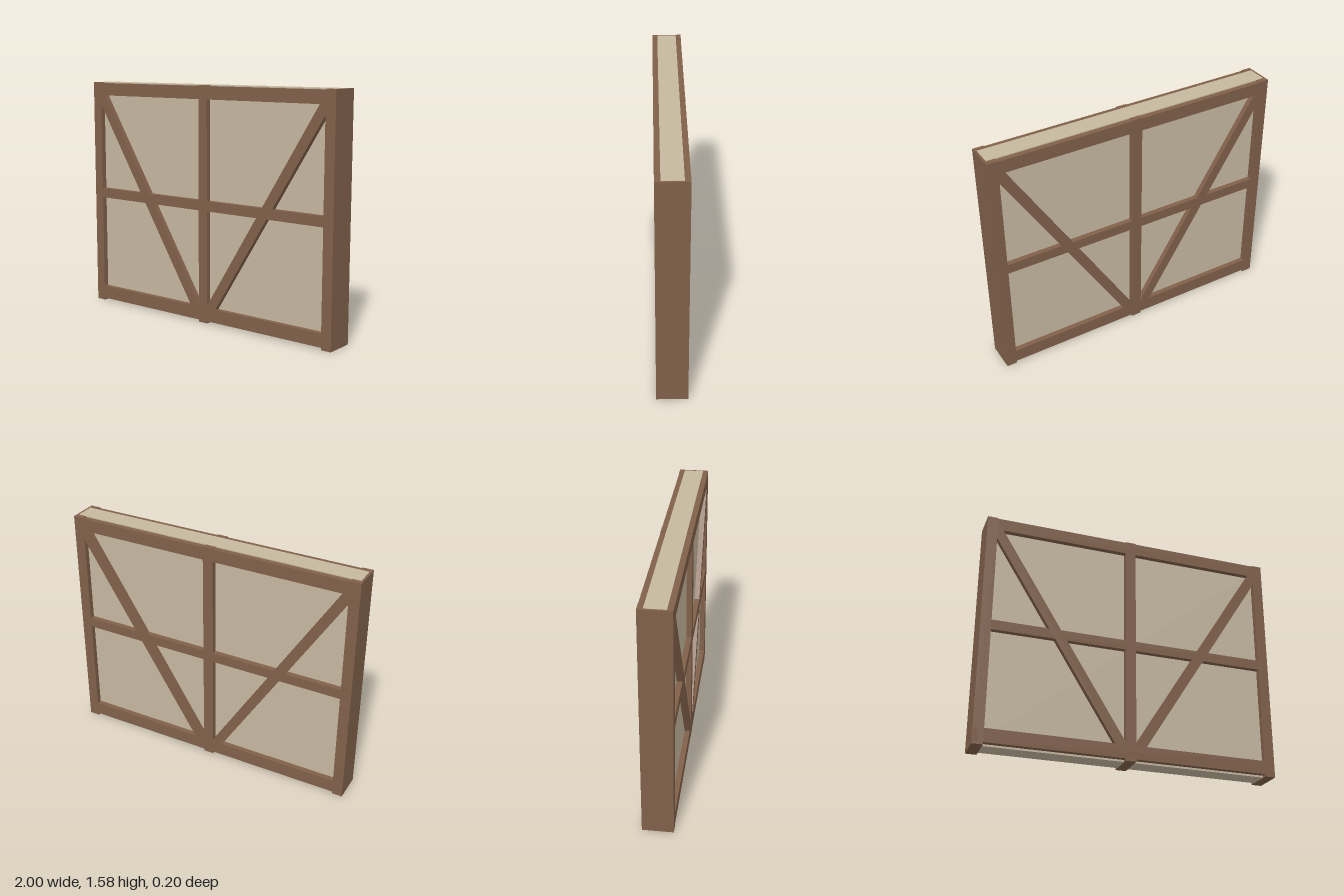
import * as THREE from 'three';

export function createModel() {
  const timber = new THREE.MeshStandardMaterial({ color: 0x80604a });
  timber.name = 'timber';
  const plaster = new THREE.MeshStandardMaterial({ color: 0xc6b8a0 });
  plaster.name = 'plaster';

  const wall = new THREE.Group();
  wall.name = 'timberFramedWall';
  const DEPTH = 0.2;

  const addBox = (name, material, w, h, d, x, y, z = 0) => {
    const mesh = new THREE.Mesh(new THREE.BoxGeometry(w, h, d), material);
    mesh.name = name;
    mesh.position.set(x, y, z);
    wall.add(mesh);
    return mesh;
  };

  // Plaster infill, a hair proud of the post tops
  addBox('plasterInfill', plaster, 1.972, 1.579, 0.13, 0, 0.7915);

  // Upright posts through the full wall thickness
  addBox('rightPost', timber, 0.07, 1.58, DEPTH, -0.965, 0.79);
  addBox('centrePost', timber, 0.07, 1.58, DEPTH, 0, 0.79);
  addBox('leftPost', timber, 0.07, 1.58, DEPTH, 0.965, 0.79);

  // Horizontal rails: name, bottom, top
  const rails = [
    ['sillRail', 0.015, 0.105],
    ['middleRail', 0.76, 0.827],
    ['topRail', 1.49, 1.575],
  ];
  for (const [name, y0, y1] of rails) {
    addBox(name, timber, 1.99, y1 - y0, DEPTH, 0, (y0 + y1) / 2);
  }

  // Diagonal braces from the upper corners down to the centre post
  const dx = 0.921, dy = 1.475;
  for (const side of [-1, 1]) {
    const brace = addBox(side < 0 ? 'rightBrace' : 'leftBrace', timber,
      0.068, Math.hypot(dx, dy), DEPTH, side * 0.4975, 0.7975);
    brace.rotation.z = -side * Math.atan2(dx, dy);
  }
  return wall;
}
